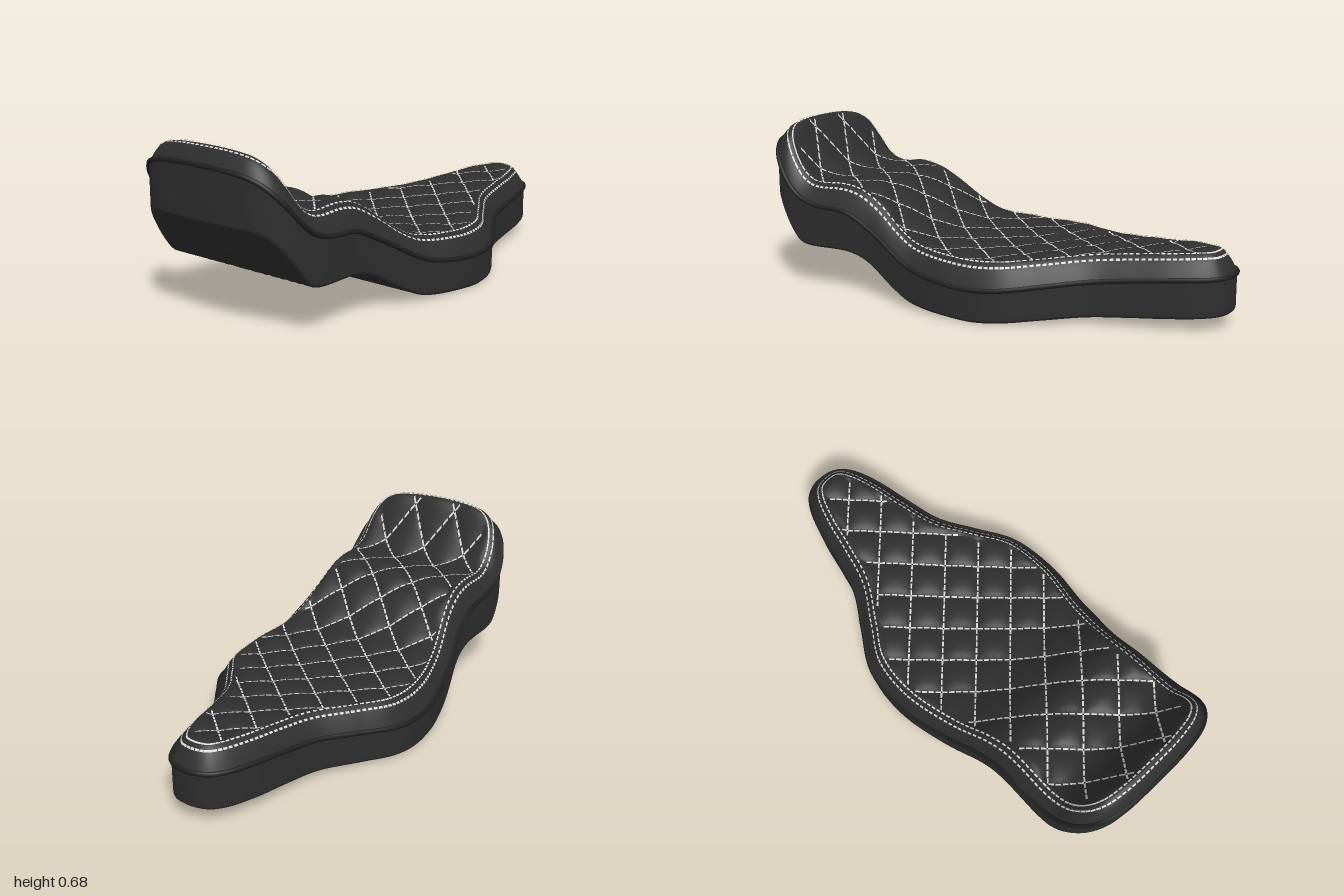
import * as THREE from 'three';
import { mergeVertices } from 'three/addons/utils/BufferGeometryUtils.js';

// Smooth height curve through [x, y] pairs
function curveOf(p) {
  const slope = i => {
    const a = p[Math.max(0, i - 1)], b = p[Math.min(p.length - 1, i + 1)];
    return (b[1] - a[1]) / (b[0] - a[0]);
  };
  return x => {
    x = Math.min(Math.max(x, p[0][0]), p[p.length - 1][0]);
    let i = 0;
    while (i < p.length - 2 && x > p[i + 1][0]) i++;
    const h = p[i + 1][0] - p[i][0], t = (x - p[i][0]) / h, t2 = t * t, t3 = t2 * t;
    return (2 * t3 - 3 * t2 + 1) * p[i][1] + (t3 - 2 * t2 + t) * h * slope(i)
      + (3 * t2 - 2 * t3) * p[i + 1][1] + (t3 - t2) * h * slope(i + 1);
  };
}

// Side-view profiles: underside, piping line and cushion crown
const bottomY = curveOf([[-1, 0.41], [-0.95, 0.395], [-0.9, 0.34], [-0.8, 0.205], [-0.75, 0.183], [-0.55, 0.178],
  [-0.45, 0.15], [-0.3, 0.065], [-0.2, 0.023], [0, 0.006], [0.1, 0.001], [0.2, 0.006], [0.5, 0.028], [1, 0.06]]);
const pipeY = curveOf([[-1, 0.625], [-0.95, 0.575], [-0.9, 0.51], [-0.8, 0.4], [-0.7, 0.36], [-0.55, 0.345],
  [-0.4, 0.275], [-0.2, 0.17], [0, 0.137], [0.1, 0.132], [0.2, 0.137], [0.5, 0.17], [0.8, 0.2], [1, 0.21]]);
const crownY = curveOf([[-1, 0.74], [-0.95, 0.712], [-0.9, 0.655], [-0.85, 0.57], [-0.8, 0.495], [-0.75, 0.46],
  [-0.7, 0.452], [-0.6, 0.458], [-0.5, 0.442], [-0.4, 0.385], [-0.3, 0.31], [-0.2, 0.262], [0, 0.243], [0.1, 0.24],
  [0.3, 0.252], [0.6, 0.28], [0.9, 0.303], [1, 0.305]]);

// Plan outline: one half drawn, the other mirrored
const HALF = 200, N = HALF * 2;
const halfPts = [[-0.99, 0], [-0.985, 0.15], [-0.965, 0.255], [-0.925, 0.32], [-0.86, 0.358], [-0.75, 0.369],
  [-0.45, 0.367], [-0.25, 0.407], [0, 0.45], [0.2, 0.427], [0.35, 0.338], [0.5, 0.245], [0.65, 0.203],
  [0.8, 0.168], [0.92, 0.122], [0.972, 0.075], [0.99, 0]];
const loopPts = [...halfPts, ...halfPts.slice(1, -1).reverse().map(([x, z]) => [x, -z])];
const outline = new THREE.CatmullRomCurve3(loopPts.map(([x, z]) => new THREE.Vector3(x, 0, z)), true)
  .getSpacedPoints(N).slice(0, HALF + 1).map(p => [p.x, p.z]);
outline[0][1] = outline[HALF][1] = 0;
for (let i = HALF - 1; i > 0; i--) outline.push([outline[i][0], -outline[i][1]]);
const normals = outline.map((_, i) => {
  const a = outline[(i + N - 1) % N], b = outline[(i + 1) % N];
  const dx = b[0] - a[0], dz = b[1] - a[1], l = Math.hypot(dx, dz);
  return [-dz / l, dx / l];
});
const inset = d => outline.map(([x, z], i) => [x - normals[i][0] * d, z - normals[i][1] * d]);
const towardSpine = f => outline.map(([x, z]) => [x + (-0.72 + (x + 0.99) * 0.81 - x) * f, z * (1 - f)]);

// Distance inside the outline (negative outside)
function depth(x, z) {
  let best = 9, inside = false;
  for (let i = 0; i < N; i++) {
    const [ax, az] = outline[i], [bx, bz] = outline[(i + 1) % N];
    const dx = bx - ax, dz = bz - az;
    const t = Math.min(1, Math.max(0, ((x - ax) * dx + (z - az) * dz) / (dx * dx + dz * dz)));
    best = Math.min(best, (x - ax - dx * t) ** 2 + (z - az - dz * t) ** 2);
    if ((az > z) !== (bz > z) && x < ax + (z - az) / dz * dx) inside = !inside;
  }
  return inside ? Math.sqrt(best) : -Math.sqrt(best);
}

// Cushion height: rolled edge plus diamond quilting
const PITCH = 0.2;
function cushionY(x, z) {
  const d = Math.max(0, depth(x, z));
  const roll = 1 - (1 - Math.min(1, d / 0.09)) ** 2;
  const puff = Math.sqrt(Math.abs(Math.sin(Math.PI * (x + z) / PITCH) * Math.sin(Math.PI * (x - z) / PITCH)));
  return pipeY(x) + (crownY(x) - pipeY(x)) * roll - 0.022 * (1 - puff) * THREE.MathUtils.smoothstep(d, 0.06, 0.085);
}

// Skin a list of closed rings of [x, y, z]
function loft(rings) {
  const pos = rings.flat(2), idx = [];
  for (let j = 0; j < rings.length - 1; j++) {
    for (let i = 0; i < N; i++) {
      const a = j * N + i, b = j * N + (i + 1) % N;
      idx.push(a, b, a + N, b, b + N, a + N);
    }
  }
  let g = new THREE.BufferGeometry();
  g.setAttribute('position', new THREE.Float32BufferAttribute(pos, 3));
  g.setIndex(idx);
  g = mergeVertices(g, 1e-5);
  g.computeVertexNormals();
  return g;
}

// Thread dashes laid on the cushion; each dash is [x, z, directionX, directionZ]
function stitchGeometry(dashes, length, width) {
  const pos = [], idx = [], e = 0.004;
  for (const [x, z, ux, uz] of dashes) {
    const n = new THREE.Vector3(cushionY(x - e, z) - cushionY(x + e, z), 2 * e,
      cushionY(x, z - e) - cushionY(x, z + e)).normalize().multiplyScalar(0.004);
    const base = pos.length / 3;
    for (const [s, t] of [[-1, -1], [-1, 1], [1, 1], [1, -1]]) {
      const px = x + ux * s * length / 2 - uz * t * width / 2, pz = z + uz * s * length / 2 + ux * t * width / 2;
      pos.push(px + n.x, cushionY(px, pz) + n.y, pz + n.z);
    }
    idx.push(base, base + 1, base + 2, base, base + 2, base + 3);
  }
  const g = new THREE.BufferGeometry();
  g.setAttribute('position', new THREE.Float32BufferAttribute(pos, 3));
  g.setIndex(idx);
  g.computeVertexNormals();
  return g;
}

export function createModel() {
  const group = new THREE.Group();
  const material = (name, color, side = THREE.FrontSide) => {
    const m = new THREE.MeshStandardMaterial({ color, side });
    m.name = name;
    return m;
  };
  const add = (name, geometry, mat) => {
    const mesh = new THREE.Mesh(geometry, mat);
    mesh.name = name;
    group.add(mesh);
  };
  const leather = material('black leather', 0x2e2e2e);
  const trim = material('dark piping', 0x202020);
  const thread = material('pale thread', 0xd6d6d6, THREE.DoubleSide);

  // Quilted cushion, from the piping in to the spine
  const cushion = [];
  for (let j = 0; j <= 44; j++) {
    cushion.push(towardSpine((j / 44) ** 1.2).map(([x, z]) => [x, cushionY(x, z), z]));
  }
  add('quiltedCushion', loft(cushion), leather);

  // Base: underside, rounded lower edge and side wall
  const base = [];
  for (let j = 10; j >= 1; j--) base.push(towardSpine(j / 10).map(([x, z]) => [x, bottomY(x), z]));
  for (const [d, up] of [[0.014, 0], [0.008, 0.001], [0.002, 0.006], [0, 0.014]]) {
    base.push(inset(d).map(([x, z]) => [x, bottomY(x) + up, z]));
  }
  for (const f of [0.35, 0.7, 1]) {
    base.push(outline.map(([x, z]) => [x, THREE.MathUtils.lerp(bottomY(x) + 0.014, pipeY(x), f), z]));
  }
  add('seatBase', loft(base), leather);

  // Piping bead around the seam
  const seam = new THREE.CatmullRomCurve3(outline.filter((_, i) => i % 4 === 0)
    .map(([x, z]) => new THREE.Vector3(x, pipeY(x), z)), true);
  add('piping', new THREE.TubeGeometry(seam, 300, 0.01, 8, true), trim);

  // Diamond stitching along both diagonals
  const quilt = [], r = Math.SQRT1_2;
  for (const side of [1, -1]) {
    for (let k = -7; k <= 7; k++) {
      for (let z = -0.45; z < 0.45; z += 0.02) {
        const x = k * PITCH + side * z;
        if (depth(x, z) > 0.075) quilt.push([x, z, side * r, r]);
      }
    }
  }
  add('diamondStitching', stitchGeometry(quilt, 0.022, 0.007), thread);

  // Twin rows of border stitching
  for (const [name, d] of [['outerBorderStitching', 0.043], ['innerBorderStitching', 0.062]]) {
    const row = [];
    inset(d).forEach(([x, z], i) => {
      if (i % 2 === 0 && depth(x, z) > d - 0.003) row.push([x, z, normals[i][1], -normals[i][0]]);
    });
    add(name, stitchGeometry(row, 0.016, 0.006), thread);
  }
  return group;
}
